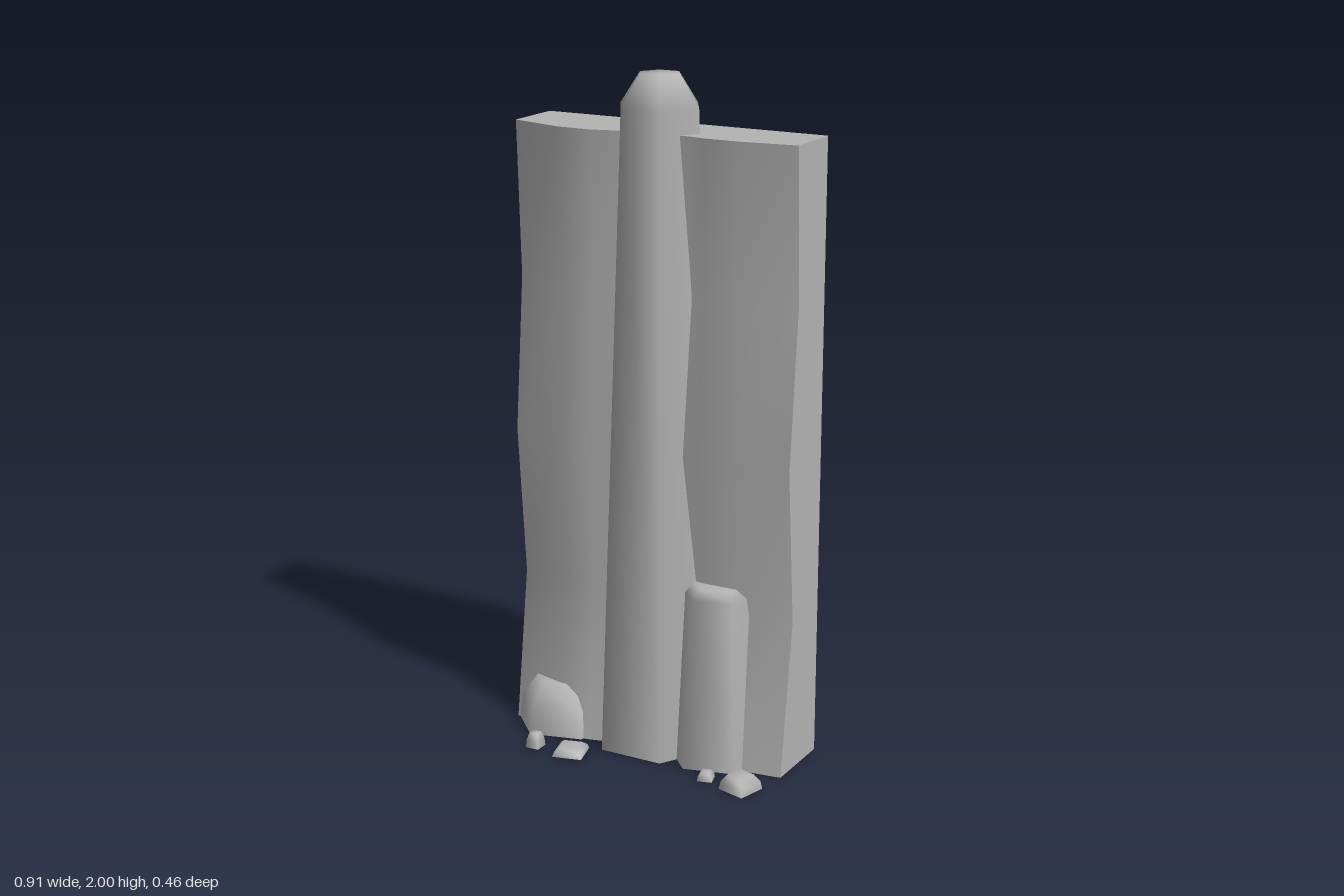
import * as THREE from 'three';
import { toCreasedNormals } from 'three/addons/utils/BufferGeometryUtils.js';

const stone = new THREE.MeshStandardMaterial({ color: 0xb4b4b4 });
stone.name = 'grey stone';

// Faceted, smooth-shaded stone: profile of [radius, height], turned with few sides
function turnedStone(name, profile, sides, x, z, angle) {
  const part = new THREE.Group();
  part.name = name;
  const start = THREE.MathUtils.degToRad(angle);
  const points = profile.map(([r, y]) => new THREE.Vector2(r, y));
  const body = new THREE.Mesh(new THREE.LatheGeometry(points, sides, start), stone);
  body.name = name + 'Body';
  // underside, with corners matching the body
  const base = new THREE.Mesh(new THREE.CircleGeometry(profile[0][0], sides, start - Math.PI / 2), stone);
  base.name = name + 'Base';
  base.rotation.x = Math.PI / 2;
  part.add(body, base);
  part.position.set(x, 0, z);
  return part;
}

// Wall slab with a flat back and a gently rippled front
function wallSlab() {
  const xs = [-0.45, -0.28, -0.18, -0.09, 0.12, 0.17, 0.28, 0.45];
  const bulge = [-0.02, 0.027, 0.027, 0.005, -0.005, 0.003, 0.003, -0.02];
  const ripple = [0.042, -0.02, 0.02, -0.02, 0]; // from bottom to top
  const height = 1.84;
  const geometry = new THREE.BoxGeometry(7, 4, 2, 7, 4, 1);
  const p = geometry.attributes.position;
  for (let i = 0; i < p.count; i++) {
    const col = Math.round(p.getX(i) + 3.5);
    const row = Math.round(p.getY(i) + 2);
    const z = p.getZ(i) > 0 ? bulge[col] + ripple[row] : -0.205;
    p.setXYZ(i, xs[col], (row / 4) * height, z);
  }
  const mesh = new THREE.Mesh(toCreasedNormals(geometry, 0.8), stone);
  mesh.name = 'wallSlab';
  return mesh;
}

export function createModel() {
  const model = new THREE.Group();
  model.name = 'rockWall';
  model.add(wallSlab());

  // Six-sided tapering pillar with a domed top
  model.add(turnedStone('pillar',
    [[0.197, 0], [0.125, 1.91], [0.063, 2], [0, 2]], 6, 0, -0.06, 90));

  // Buttress and boulder leaning out of the wall
  model.add(turnedStone('buttress',
    [[0.155, 0], [0.118, 0.515], [0.085, 0.54], [0, 0.54]], 6, 0.215, -0.042, -15));
  model.add(turnedStone('boulder',
    [[0.16, 0], [0.148, 0.08], [0.105, 0.155], [0, 0.155]], 6, -0.303, -0.034, -15));

  // Loose pebbles: x, z, corner radius, height, angle
  const pebbles = [
    [-0.285, 0.185, 0.03, 0.045, 45],
    [-0.17, 0.172, 0.063, 0.025, 60],
    [0.265, 0.134, 0.031, 0.025, 60],
    [0.382, 0.143, 0.063, 0.045, 30],
  ];
  pebbles.forEach(([x, z, r, h, angle], i) => {
    model.add(turnedStone('pebble' + (i + 1),
      [[r, 0], [r * 0.9, h * 0.55], [r * 0.6, h], [0, h]], 4, x, z, angle));
  });
  return model;
}
